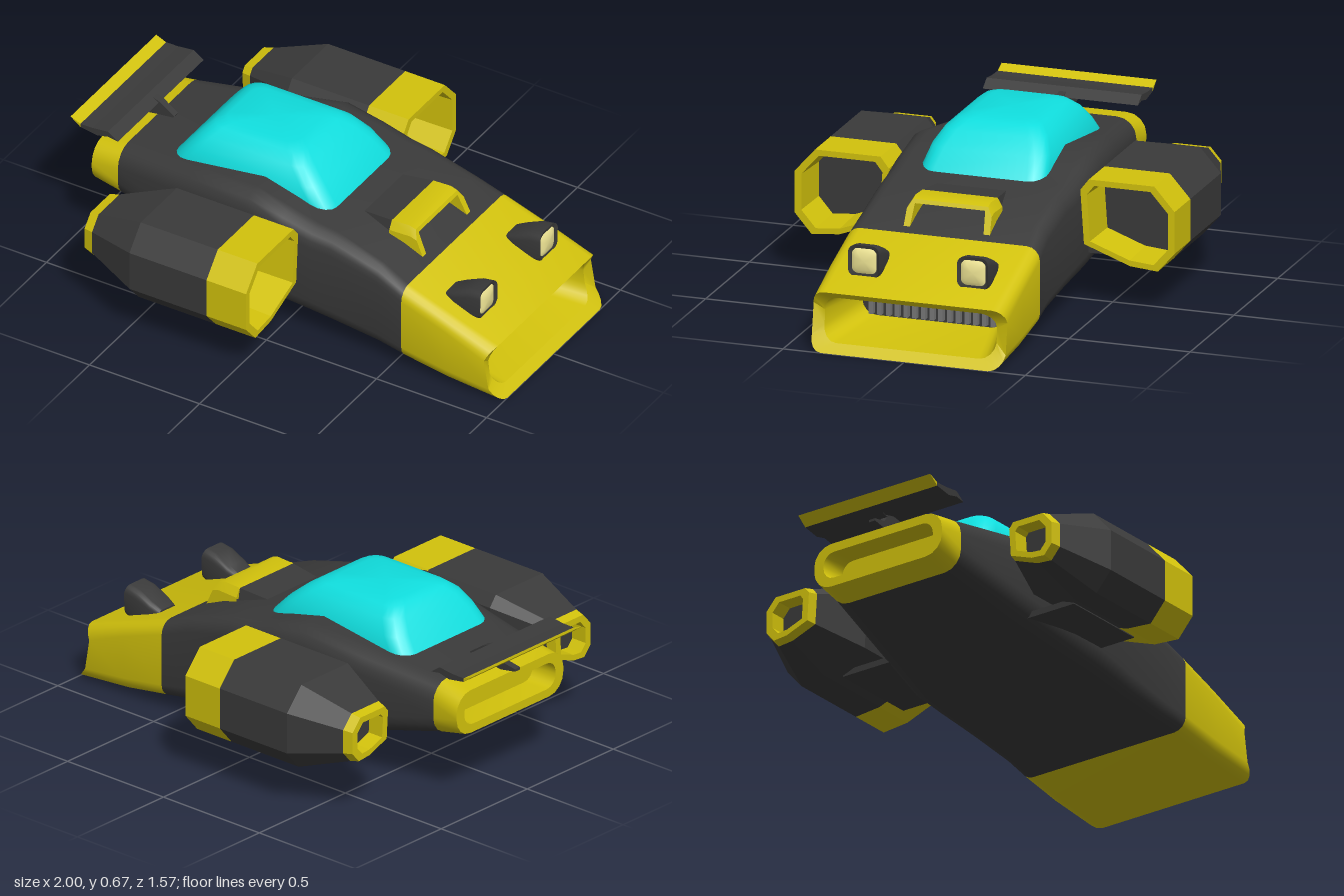
import * as THREE from 'three';
import { toCreasedNormals } from 'three/addons/utils/BufferGeometryUtils.js';

const paint = (color) => new THREE.MeshStandardMaterial({ color, side: THREE.DoubleSide });
const yellow = paint(0xd2c20c), dark = paint(0x3a3a3a), cyan = paint(0x10dede);
const steel = paint(0x777777), cream = paint(0xf2e896);

// Rounded rectangle as 2D points, anticlockwise
function roundRect(cu, cv, hu, hv, r, seg = 4) {
  const pts = [];
  for (let c = 0; c < 4; c++) {
    const su = c === 0 || c === 3 ? 1 : -1, sv = c < 2 ? 1 : -1;
    for (let i = 0; i <= seg; i++) {
      const a = (c + i / seg) * Math.PI / 2;
      pts.push([cu + su * (hu - r) + r * Math.cos(a), cv + sv * (hv - r) + r * Math.sin(a)]);
    }
  }
  return pts;
}
// Ring across the x axis; x may be a number or a function of y
const ringX = (x, pts) => pts.map(([u, v]) => [typeof x === 'function' ? x(v) : x, v, -u]);
const hull = (x, y0, y1, half, r, z = 0) =>
  ringX(x, roundRect(-z, (y0 + y1) / 2, half, (y1 - y0) / 2, r));

// Skin a list of rings, with optional end caps
function loft(name, mat, rings, { start = false, end = false, crease = 0.6 } = {}) {
  const n = rings[0].length, pos = rings.flat(2), idx = [];
  for (let i = 0; i < rings.length - 1; i++)
    for (let j = 0; j < n; j++) {
      const k = (j + 1) % n, a = i * n + j, b = i * n + k;
      idx.push(a, b, b + n, a, b + n, a + n);
    }
  const cap = (ring, base, flip) => {
    const c = pos.length / 3;
    for (let d = 0; d < 3; d++) pos.push(ring.reduce((s, p) => s + p[d], 0) / n);
    for (let j = 0; j < n; j++) {
      const p = base + j, q = base + (j + 1) % n;
      idx.push(c, flip ? q : p, flip ? p : q);
    }
  };
  if (start) cap(rings[0], 0, true);
  if (end) cap(rings[rings.length - 1], (rings.length - 1) * n, false);
  const g = new THREE.BufferGeometry();
  g.setAttribute('position', new THREE.Float32BufferAttribute(pos, 3));
  g.setIndex(idx);
  return named(name, toCreasedNormals(g, crease), mat);
}
function named(name, geo, mat) {
  const m = new THREE.Mesh(geo, mat);
  m.name = name;
  return m;
}
function box(name, mat, x0, x1, y0, y1, z0, z1) {
  const g = new THREE.BoxGeometry(x1 - x0, y1 - y0, z1 - z0);
  g.translate((x0 + x1) / 2, (y0 + y1) / 2, (z0 + z1) / 2);
  return named(name, g, mat);
}
// Side profile in x/y, extruded evenly across z
function plate(name, mat, pts, half) {
  const g = new THREE.ExtrudeGeometry(new THREE.Shape(pts.map((p) => new THREE.Vector2(...p))),
    { depth: half * 2, bevelEnabled: false });
  g.translate(0, 0, -half);
  return named(name, g, mat);
}

function engine(side) {
  const g = new THREE.Group();
  g.name = side > 0 ? 'leftEngine' : 'rightEngine';
  const outline = [[0.43, 0.515], [0.70, 0.515], [0.784, 0.42], [0.784, 0.25],
    [0.715, 0.17], [0.60, 0.18], [0.41, 0.25], [0.395, 0.47]];
  const ring = (x, s) => ringX(x, outline.map(([z, y]) => [-(0.588 + (z - 0.588) * s), 0.345 + (y - 0.345) * s]));
  const flat = { crease: 0.2 };
  g.add(loft('engineShell', dark, [ring(-0.67, 0.58), ring(-0.45, 1), ring(-0.1, 1)], flat));
  g.add(loft('engineIntake', yellow, [ring(-0.1, 1), ring(0.08, 1), ring(0.08, 0.86), ring(-0.1, 0.82)], flat));
  g.add(loft('intakeBack', dark, [ring(-0.12, 0.82), ring(-0.1, 0.82)], { end: true, crease: 0.2 }));
  g.add(loft('engineExhaust', yellow, [ring(-0.64, 0.38), ring(-0.71, 0.38), ring(-0.71, 0.53), ring(-0.67, 0.58)], flat));
  g.add(loft('exhaustBack', dark, [ring(-0.64, 0.38), ring(-0.63, 0.38)], { start: true, crease: 0.2 }));
  g.add(box('enginePylon', dark, -0.39, 0, 0.19, 0.215, 0.3, 0.56));
  g.scale.z = side;
  return g;
}

function headlight(side) {
  const g = new THREE.Group(), z = side * 0.225;
  g.name = side > 0 ? 'leftHeadlight' : 'rightHeadlight';
  g.add(loft('lampHousing', dark, [
    hull(0.675, 0.24, 0.34, 0.05, 0.02, z), hull(0.72, 0.24, 0.362, 0.06, 0.025, z),
    hull(0.79, 0.25, 0.394, 0.064, 0.03, z), hull((y) => 0.85 - Math.abs(y - 0.34) * 0.2, 0.272, 0.402, 0.064, 0.03, z),
    hull(0.835, 0.285, 0.389, 0.052, 0.024, z), hull(0.81, 0.285, 0.389, 0.052, 0.024, z),
  ], { start: true, end: true }));
  g.add(loft('lampLens', cream, [
    hull(0.81, 0.287, 0.387, 0.051, 0.024, z), hull(0.834, 0.287, 0.387, 0.051, 0.024, z),
    hull(0.842, 0.302, 0.372, 0.036, 0.02, z),
  ], { end: true, crease: 0.9 }));
  return g;
}

export function createModel() {
  const model = new THREE.Group();
  model.name = 'hoverCar';

  // Hull: dark centre with yellow nose and tail
  model.add(loft('hull', dark, [
    hull(-0.79, 0.265, 0.49, 0.312, 0.08), hull(-0.45, 0.185, 0.53, 0.36, 0.085),
    hull(-0.16, 0.12, 0.565, 0.4, 0.085), hull(0, 0.105, 0.53, 0.4, 0.08),
    hull(0.13, 0.093, 0.497, 0.395, 0.075), hull(0.22, 0.083, 0.485, 0.39, 0.07),
    hull(0.43, 0.063, 0.425, 0.388, 0.06), hull(0.55, 0.05, 0.375, 0.398, 0.055),
  ]));
  const lip = (y) => { const s = y / 0.235; return 1 - 0.04 * s - 0.24 * s * (1 - s); };
  model.add(loft('nose', yellow, [
    hull(0.55, 0.05, 0.375, 0.398, 0.055), hull(0.75, 0.02, 0.307, 0.4, 0.055),
    hull(lip, 0, 0.235, 0.4, 0.055), hull(lip, 0.035, 0.213, 0.355, 0.06),
    hull(0.66, 0.065, 0.215, 0.295, 0.06),
  ]));
  model.add(loft('tail', yellow, [
    hull(-0.8, 0.325, 0.435, 0.255, 0.05), hull(-0.91, 0.325, 0.435, 0.265, 0.05),
    hull(-0.91, 0.29, 0.472, 0.31, 0.08), hull(-0.79, 0.265, 0.49, 0.312, 0.08),
  ], { start: true }));

  // Radiator grille inside the nose
  model.add(loft('grilleBack', dark, [hull(0.64, 0.06, 0.22, 0.3, 0.06), hull(0.66, 0.06, 0.22, 0.3, 0.06)], { end: true }));
  for (let i = 0; i < 15; i++) {
    const z = (i - 7) * 0.036;
    model.add(box('grilleSlat', steel, 0.655, 0.685, 0.075, 0.21, z - 0.009, z + 0.009));
  }

  // Canopy, stacked upwards: height, back, front, half width, corner radius
  const canopy = [[0.47, -0.615, 0.15, 0.262, 0.07], [0.51, -0.59, 0.125, 0.26, 0.07],
    [0.575, -0.54, 0.065, 0.243, 0.07], [0.63, -0.495, 0.0, 0.21, 0.065],
    [0.662, -0.46, -0.05, 0.17, 0.06], [0.674, -0.425, -0.095, 0.13, 0.05]];
  model.add(loft('canopy', cyan, canopy.map(([y, x0, x1, hz, r]) =>
    roundRect((x0 + x1) / 2, 0, (x1 - x0) / 2, hz, r).map(([u, v]) => [u, y, -v])), { end: true }));

  // Bonnet scoop: dark fairing and a raked yellow hood, open to the front
  const scoop = (x, top, a, b) => ringX(x, [[b, 0.38], [a, top], [-a, top], [-b, 0.38]]);
  const rake = (x) => (y) => x + Math.max(0, 0.498 - y) * 0.45;
  model.add(loft('scoopFairing', dark, [scoop(0.2, 0.48, 0.14, 0.16), scoop(0.36, 0.495, 0.155, 0.175)],
    { start: true, end: true, crease: 0.2 }));
  const hood = (x, top, drop) => ringX(x, [[0.178, 0.39], [0.175, top - 0.035], [0.155, top], [-0.155, top],
    [-0.175, top - 0.035], [-0.178, 0.39], [-0.152, 0.39], [-0.145, top - drop], [0.145, top - drop], [0.152, 0.39]]);
  model.add(loft('scoopHood', yellow, [hood(0.36, 0.495, 0.02), hood(rake(0.44), 0.499, 0.02),
    hood(rake(0.465), 0.49, 0.015)], { crease: 0.4 }));
  const lipFace = new THREE.Shape([[0.178, 0.39], [0.175, 0.455], [0.155, 0.49], [-0.155, 0.49], [-0.175, 0.455],
    [-0.178, 0.39], [-0.152, 0.39], [-0.145, 0.475], [0.145, 0.475], [0.152, 0.39]].map((p) => new THREE.Vector2(...p)));
  const lipGeo = new THREE.ShapeGeometry(lipFace), p = lipGeo.attributes.position;
  for (let i = 0; i < p.count; i++) p.setXYZ(i, rake(0.465)(p.getY(i)), p.getY(i), -p.getX(i));
  lipGeo.computeVertexNormals();
  model.add(named('scoopLip', lipGeo, yellow));

  // Rear wing with yellow trailing edge, and its central mount
  model.add(plate('wing', dark, [[-0.955, 0.567], [-0.9, 0.568], [-0.83, 0.576], [-0.785, 0.545],
    [-0.83, 0.552], [-0.88, 0.54], [-0.955, 0.552]], 0.32));
  model.add(plate('wingEdge', yellow, [[-1, 0.586], [-0.955, 0.567], [-0.955, 0.552]], 0.32));
  model.add(plate('wingMount', dark, [[-0.93, 0.55], [-0.83, 0.57], [-0.78, 0.55], [-0.715, 0.505],
    [-0.73, 0.48], [-0.83, 0.47], [-0.95, 0.49], [-0.95, 0.5], [-0.89, 0.51], [-0.87, 0.535]], 0.015));

  for (const side of [1, -1]) model.add(engine(side), headlight(side));
  return model;
}
